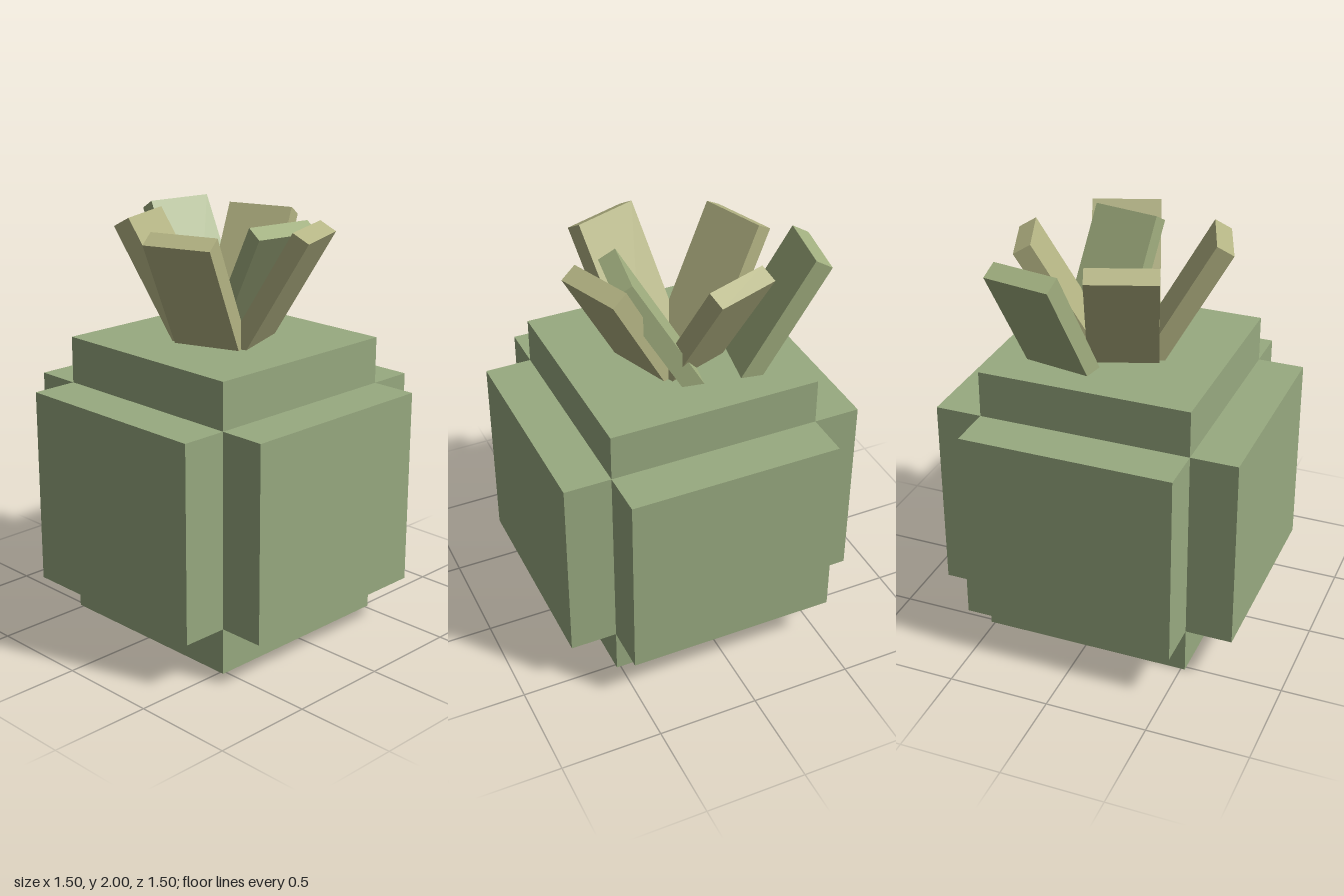
import * as THREE from 'three';

const bodyMat = new THREE.MeshStandardMaterial({ color: 0x98aa80, flatShading: true });
const leafMat = new THREE.MeshStandardMaterial({ color: 0xb4b484, flatShading: true });
const greenLeafMat = new THREE.MeshStandardMaterial({ color: 0xa2b080, flatShading: true });

const TILT = Math.PI / 6;
const LEAF = { width: 0.335, thickness: 0.092, length: 0.82 };

function block(name, w, h, d, y) {
  const mesh = new THREE.Mesh(new THREE.BoxGeometry(w, h, d), bodyMat);
  mesh.name = name;
  mesh.position.y = y;
  return mesh;
}

// Flat slab leaning outward; its outer top edge lies at radius 0.5, highest edge at y = 2
function leaf(name, material, cx, cz, heading) {
  const { width, thickness, length } = LEAF;
  const geo = new THREE.BoxGeometry(width, length, thickness);
  geo.translate(0, -length / 2, -thickness / 2); // origin on the outer top edge
  geo.rotateX(TILT);
  geo.translate(0, 2 - thickness * Math.sin(TILT), 0.5);
  const mesh = new THREE.Mesh(geo, material);
  mesh.name = name;
  mesh.position.set(cx, 0, cz);
  mesh.rotation.y = heading;
  return mesh;
}

export function createModel() {
  const group = new THREE.Group();
  group.name = 'blockyPlant';

  // Body: three crossing blocks
  const body = new THREE.Group();
  body.name = 'body';
  body.add(
    block('bodyCore', 1.04, 1.425, 1.04, 0.7125),
    block('bodySideBlock', 1.5, 0.965, 1.04, 0.7125),
    block('bodyFrontBackBlock', 1.04, 0.965, 1.5, 0.7125)
  );
  group.add(body);

  // Crown: a ring of four leaves plus an offset opposing pair
  const crown = new THREE.Group();
  crown.name = 'leafCrown';
  const deg = Math.PI / 180;
  for (let i = 0; i < 4; i++) {
    crown.add(leaf('leaf' + (i + 1), leafMat, 0, 0, (20 + i * 90) * deg));
  }
  for (let i = 0; i < 2; i++) {
    crown.add(leaf('greenLeaf' + (i + 1), greenLeafMat, 0.168, -0.151, (-10 + i * 180) * deg));
  }
  group.add(crown);

  return group;
}
